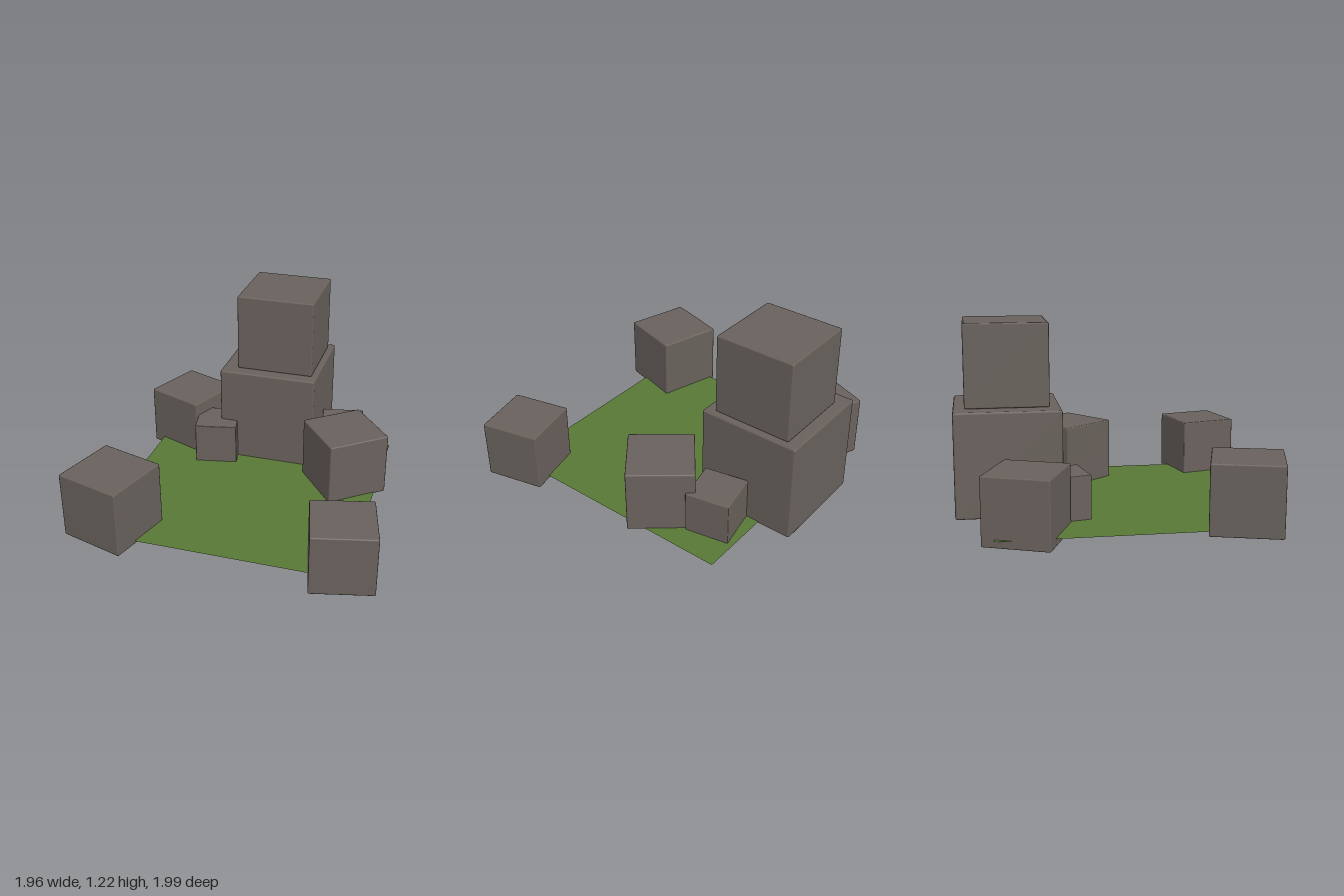
import * as THREE from 'three';
import { RoundedBoxGeometry } from 'three/addons/geometries/RoundedBoxGeometry.js';

export function createModel() {
  const model = new THREE.Group();
  model.name = 'boulderClearing';

  const stone = new THREE.MeshStandardMaterial({ color: 0x69615c });
  stone.name = 'stoneGrey';
  const grass = new THREE.MeshStandardMaterial({ color: 0x587836, side: THREE.DoubleSide });
  grass.name = 'grassGreen';

  // Flat square of grass
  const lawn = new THREE.Mesh(new THREE.PlaneGeometry(1.61, 1.61).rotateX(-Math.PI / 2), grass);
  lawn.name = 'lawn';
  lawn.position.set(-0.025, 0.055, 0.025);
  model.add(lawn);

  // Stone cubes with narrow bevels: name, size, x, base height, z, turn in degrees
  const cubes = [
    ['towerBase', 0.66, -0.025, 0.04, -0.67, 0],
    ['towerTop', 0.52, 0.01, 0.703, -0.67, 0],
    ['frontRightStone', 0.433, -0.715, 0.033, 0.71, -16.3],
    ['frontLeftStone', 0.387, 0.745, 0.035, 0.76, 13.5],
    ['backRightStone', 0.415, -0.645, 0.003, -0.585, -21.8],
    ['backLeftStone', 0.416, 0.553, 0.044, -0.217, 38.5],
    ['smallRightStone', 0.284, -0.38, 0.045, -0.352, 11.3],
    ['smallLeftStone', 0.284, 0.467, 0.045, -0.578, 11.3],
  ];
  for (const [name, size, x, base, z, turn] of cubes) {
    const geometry = new RoundedBoxGeometry(size, size, size, 1, size * 0.02);
    const cube = new THREE.Mesh(geometry, stone);
    cube.name = name;
    cube.position.set(x, base + size / 2, z);
    cube.rotation.y = THREE.MathUtils.degToRad(turn);
    model.add(cube);
  }

  return model;
}
